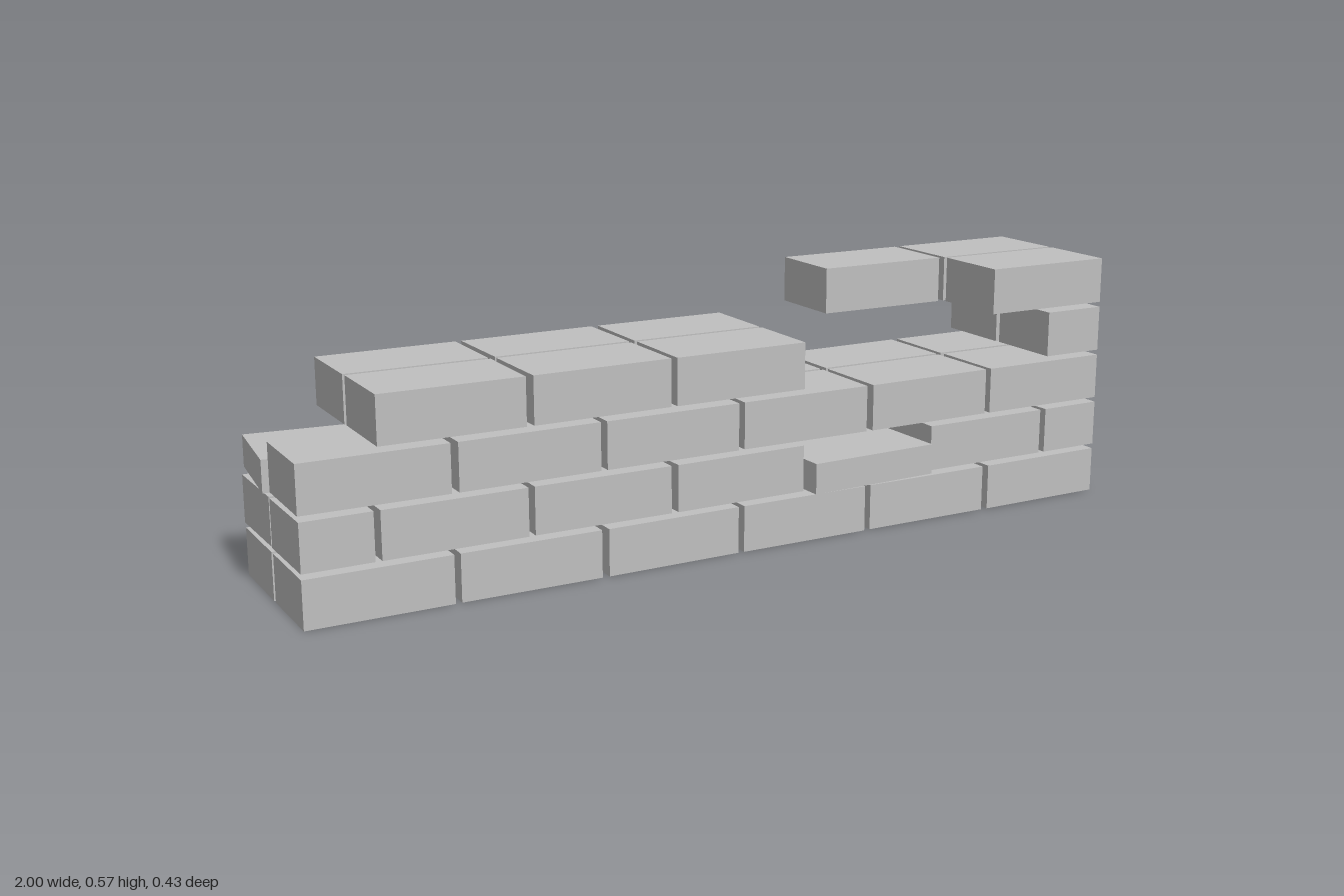
import * as THREE from 'three';

export function createModel() {
  const wall = new THREE.Group();
  wall.name = 'brokenBrickWall';
  const stone = new THREE.MeshStandardMaterial({ color: 0xbfbfbf });
  stone.name = 'greyStone';

  const PITCH = 0.332, LENGTH = 0.317, HALF = 0.152, HEIGHT = 0.105, DEPTH = 0.185, COURSE = 0.117;
  const FRONT = 0.102, BACK = -0.094;

  function addBrick(name, length, height, depth, x, bottom, z, turn = 0) {
    const brick = new THREE.Mesh(new THREE.BoxGeometry(length, height, depth), stone);
    brick.name = name;
    brick.position.set(x, bottom + height / 2, z);
    brick.rotation.y = THREE.MathUtils.degToRad(turn);
    wall.add(brick);
  }

  // Slots 0-5 in even courses; odd courses have half bricks at slots 0 and 6
  const frontCourses = [
    [0, 1, 2, 3, 4, 5],
    [0, 1, 2, 3, 5, 6],
    [0, 1, 2, 3, 4, 5],
    [1, 2, 3, 6],
    [5],
  ];
  const backCourses = [
    [0, 1, 2, 3, 4, 5],
    [0, 1, 2, 3, 4, 5],
    [1, 2, 3, 4, 5],
    [1, 2, 3, 6],
    [4, 5],
  ];

  function addLayer(layerName, courses, z) {
    courses.forEach((slots, row) => slots.forEach((slot) => {
      const odd = row % 2 === 1;
      const half = odd && (slot === 0 || slot === 6);
      const x = half ? Math.sign(slot - 3) * 0.913 : (slot - (odd ? 3 : 2.5)) * PITCH;
      // Slight hand-laid unevenness
      const turn = 0.5 * Math.sin(slot * 2.3 + row * 4.1 + z * 30);
      addBrick(`${layerName}Brick`, half ? HALF : LENGTH, HEIGHT, DEPTH, x, row * COURSE, z, turn);
    }));
  }
  addLayer('front', frontCourses, FRONT);
  addLayer('back', backCourses, BACK);

  // Thin loose bricks pushed out of line
  addBrick('frontLooseSlab', 0.322, 0.07, 0.208, 0.335, 0.113, 0.108, 2);
  addBrick('backLooseHalfSlab', 0.153, 0.07, 0.21, 0.912, 0.113, -0.094, 6);
  addBrick('backLooseSlab', 0.32, 0.07, 0.213, -0.829, 0.23, -0.093, -6);

  return wall;
}
